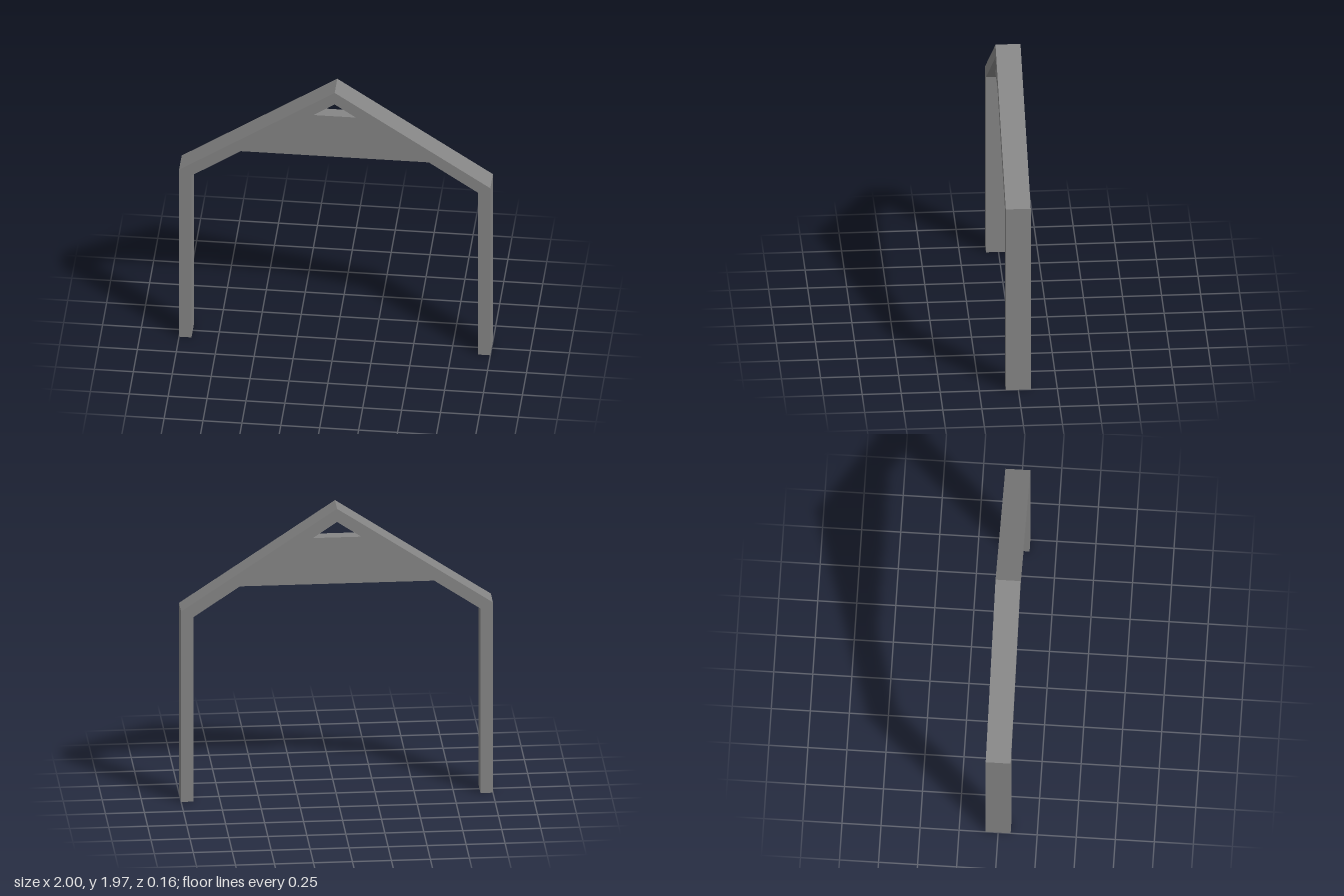
import * as THREE from 'three';

const DEPTH = 0.16;        // frame depth along z
const GUSSET_DEPTH = 0.08; // thinner infill panel

export function createModel() {
  const group = new THREE.Group();
  const material = new THREE.MeshStandardMaterial({ color: 0x858585, flatShading: true });

  // Extrudes a front-view outline, centred on z = 0
  const addPart = (name, points, depth) => {
    const shape = new THREE.Shape(points.map(([x, y]) => new THREE.Vector2(x, y)));
    const geometry = new THREE.ExtrudeGeometry(shape, { depth, bevelEnabled: false });
    geometry.translate(0, 0, -depth / 2);
    const mesh = new THREE.Mesh(geometry, material);
    mesh.name = name;
    group.add(mesh);
  };

  // Posts and rafters, mitred at the eaves and the ridge
  for (const [side, s] of [['left', 1], ['right', -1]]) {
    addPart(`${side}Post`, [[s, 0], [s, 1.3], [0.92 * s, 1.26], [0.92 * s, 0]], DEPTH);
    addPart(`${side}Rafter`, [[s, 1.3], [0, 1.97], [0, 1.88], [0.92 * s, 1.26]], DEPTH);
  }

  // Trapezoid panel tying the rafters together below the ridge
  const underside = (y) => (1.88 - y) * 0.92 / 0.62;
  const [low, high] = [1.445, 1.76];
  addPart('gussetPanel', [
    [-underside(low), low], [underside(low), low],
    [underside(high), high], [-underside(high), high],
  ], GUSSET_DEPTH);

  return group;
}
